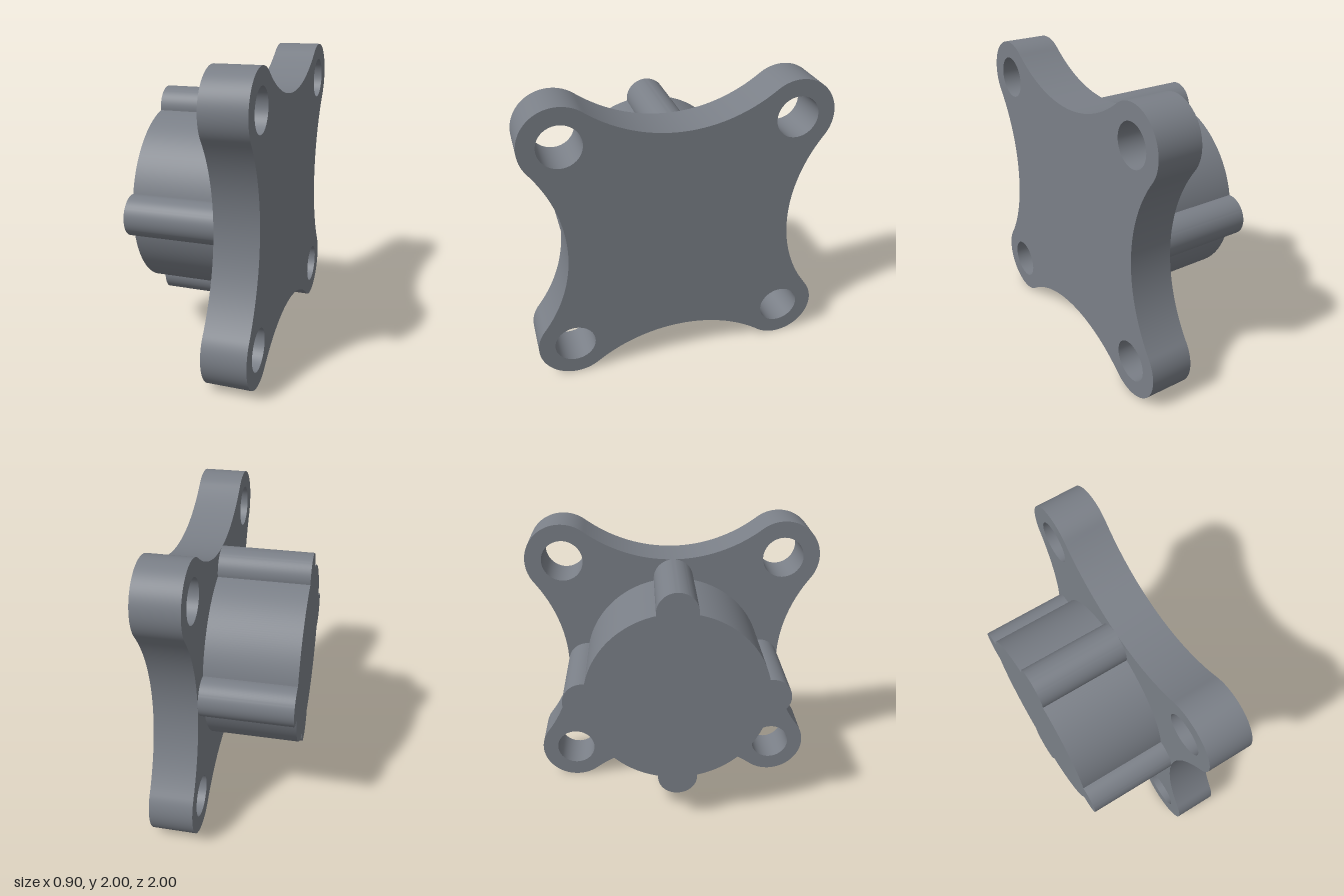
import * as THREE from 'three';
import { toCreasedNormals } from 'three/addons/utils/BufferGeometryUtils.js';

const material = new THREE.MeshStandardMaterial({ color: 0x7a7f87 });
const X_MIN = -0.448, X_JOIN = 0.155, X_MAX = 0.448;

// Extrude an outline along x, between x0 and x1, centred at height 1
function extrudeAlongX(name, shape, x0, x1) {
  const geometry = new THREE.ExtrudeGeometry(shape, {
    depth: x1 - x0, bevelEnabled: false, curveSegments: 24,
  });
  geometry.rotateY(Math.PI / 2).translate(x0, 1, 0);
  const mesh = new THREE.Mesh(toCreasedNormals(geometry, 0.4), material);
  mesh.name = name;
  return mesh;
}

// Four-armed flange: round lugs joined by tangent concave arcs, with bolt holes
function flangeShape() {
  const shape = new THREE.Shape();
  const lug = 0.75, lugRadius = 0.25, scoopRadius = 1, holeRadius = 0.139;
  const scoop = lug + scoopRadius;
  const t = Math.atan2(lug, scoopRadius);
  for (let k = 0; k < 4; k++) {
    const q = k * Math.PI / 2;
    const cx = lug * Math.SQRT2 * Math.cos(q + Math.PI / 4);
    const cy = lug * Math.SQRT2 * Math.sin(q + Math.PI / 4);
    shape.absarc(cx, cy, lugRadius, q - t, q + Math.PI / 2 + t, false);
    shape.absarc(-scoop * Math.sin(q), scoop * Math.cos(q), scoopRadius,
      q - Math.PI / 2 + t, q - Math.PI / 2 - t, true);
    shape.holes.push(new THREE.Path().absarc(cx, cy, holeRadius, 0, Math.PI * 2, true));
  }
  return shape;
}

// Round hub with four ribs centred on its rim
function hubShape() {
  const shape = new THREE.Shape();
  const R = 0.615, r = 0.135;
  const a = 2 * Math.asin(r / (2 * R));
  const half = Math.PI / 2 + a / 2;
  for (let k = 0; k < 4; k++) {
    const q = k * Math.PI / 2;
    shape.absarc(R * Math.cos(q), R * Math.sin(q), r, q - half, q + half, false);
    shape.absarc(0, 0, R, q + a, q + Math.PI / 2 - a, false);
  }
  return shape;
}

export function createModel() {
  const group = new THREE.Group();
  group.name = 'flangedHub';
  group.add(extrudeAlongX('flange', flangeShape(), X_JOIN, X_MAX));
  group.add(extrudeAlongX('ribbedHub', hubShape(), X_MIN, X_JOIN));
  return group;
}
